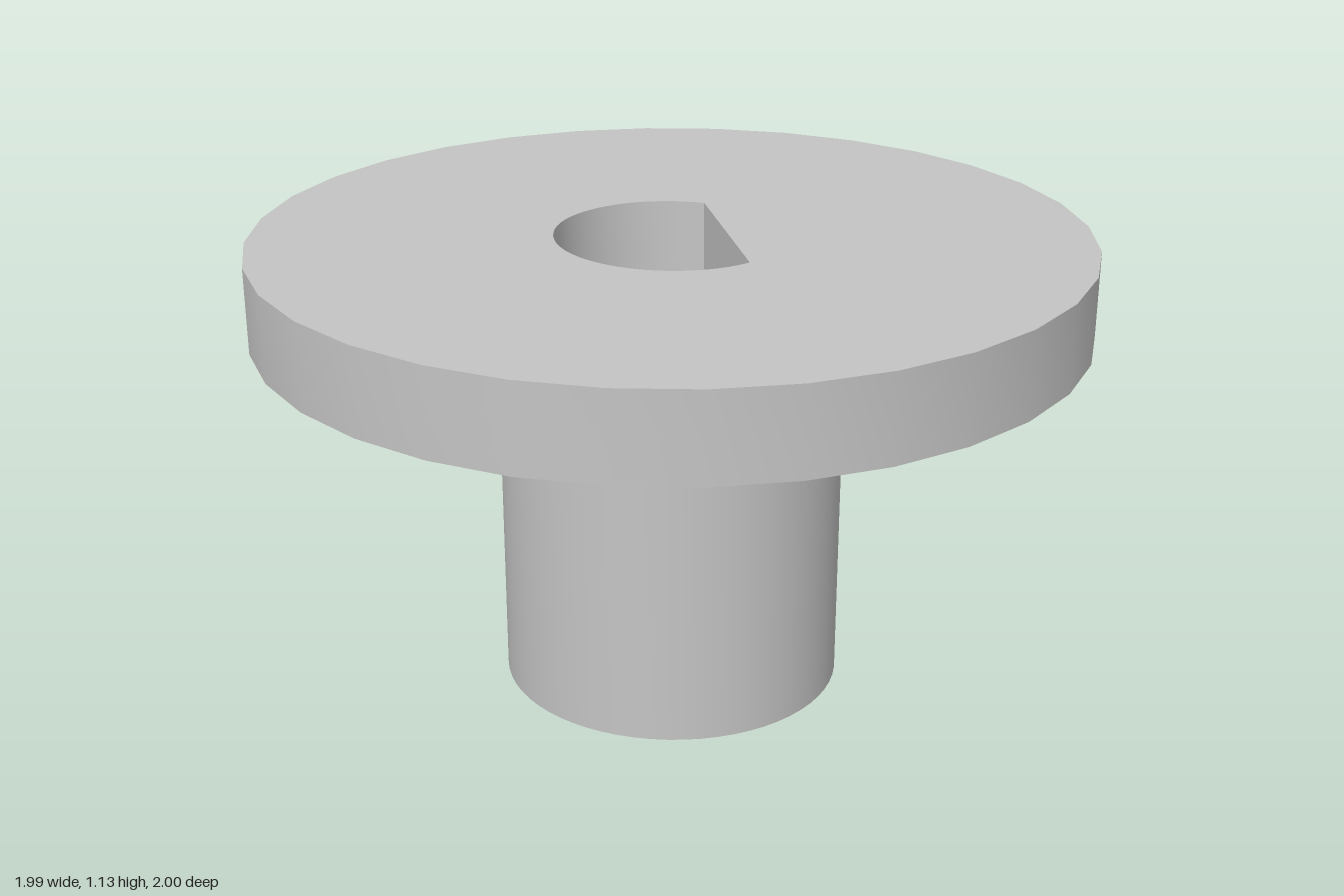
import * as THREE from 'three';
import { toCreasedNormals } from 'three/addons/utils/BufferGeometryUtils.js';

// Points along an elliptical arc
function arc(rx, ry, cy, from, to, steps) {
  return Array.from({ length: steps + 1 }, (_, i) => {
    const t = from + ((to - from) * i) / steps;
    return new THREE.Vector2(rx * Math.cos(t), cy + ry * Math.sin(t));
  });
}

// Upright disc of the given outline, pierced by the D-shaped shaft bore
function boredDisc(rx, rz, sides, bottom, top) {
  const shape = new THREE.Shape(arc(rx, rz, 0, 0, Math.PI * 2, sides).slice(0, -1));
  shape.holes.push(new THREE.Path(arc(0.271, 0.28, 0.003, 0.394, 4.553, 40)));
  const geometry = new THREE.ExtrudeGeometry(shape, { depth: top - bottom, bevelEnabled: false });
  geometry.rotateX(-Math.PI / 2).translate(0, bottom, 0);
  return toCreasedNormals(geometry, 0.5);
}

export function createModel() {
  const group = new THREE.Group();
  const grey = new THREE.MeshStandardMaterial({ color: 0xc4c4c4 });
  grey.name = 'light grey';

  // Wide round flange
  const flange = new THREE.Mesh(boredDisc(0.994, 1, 32, 0.92, 1.126), grey);
  flange.name = 'flange';

  // Hollow hub below it
  const hub = new THREE.Mesh(boredDisc(0.413, 0.42, 64, 0, 0.92), grey);
  hub.name = 'hub';

  group.add(flange, hub);
  return group;
}
